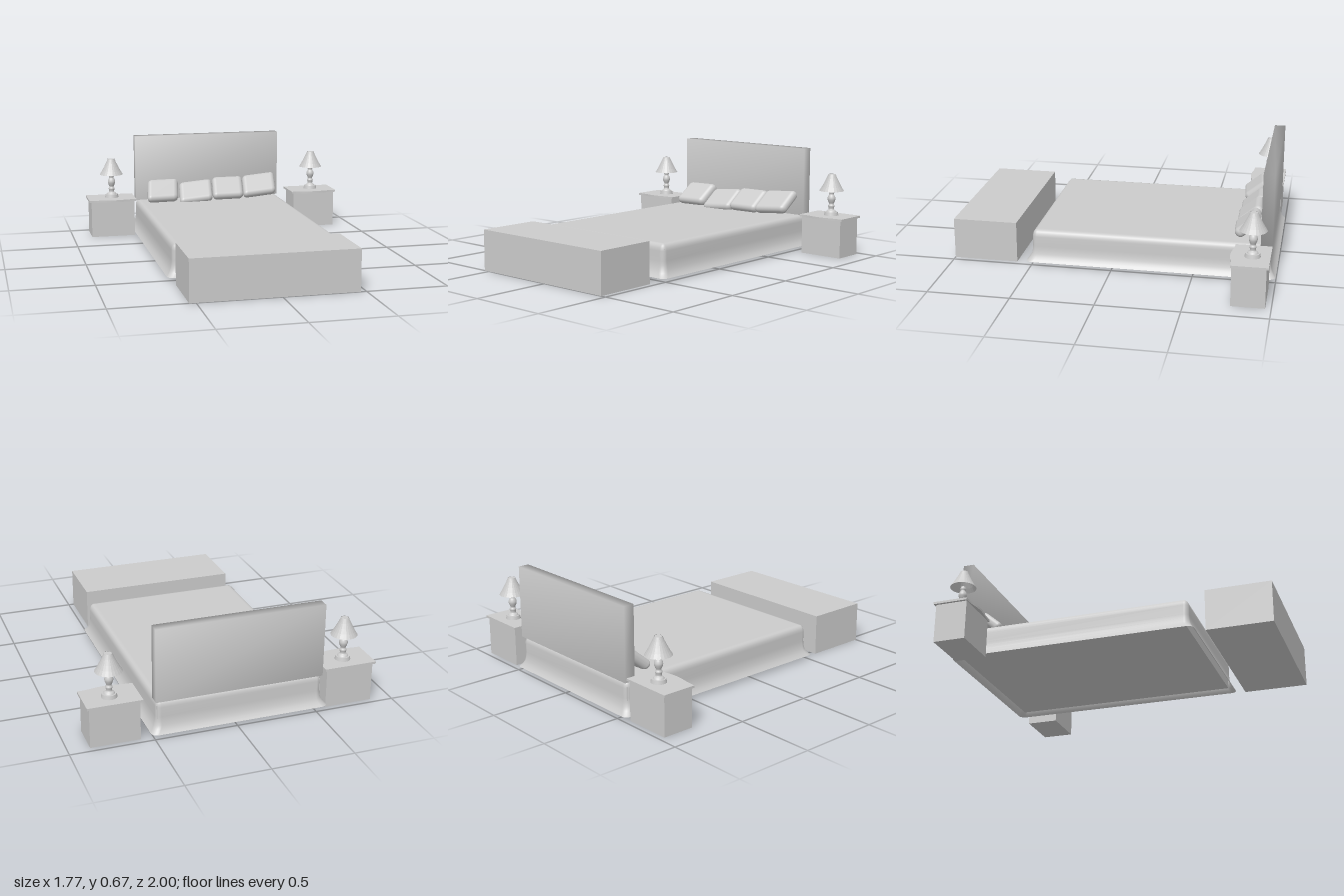
import * as THREE from 'three';
import { RoundedBoxGeometry } from 'three/addons/geometries/RoundedBoxGeometry.js';
import { mergeVertices } from 'three/addons/utils/BufferGeometryUtils.js';

const grey = new THREE.MeshStandardMaterial({ color: 0xcccccc });
const thin = new THREE.MeshStandardMaterial({ color: 0xcccccc, side: THREE.DoubleSide });
const facetedThin = new THREE.MeshStandardMaterial({ color: 0xcccccc, side: THREE.DoubleSide, flatShading: true });

function add(parent, name, geometry, material = grey) {
  const mesh = new THREE.Mesh(geometry, material);
  mesh.name = name;
  parent.add(mesh);
  return mesh;
}

// Box given by its limits on each axis
function block(parent, name, [x0, x1], [y0, y1], [z0, z1]) {
  const mesh = add(parent, name, new THREE.BoxGeometry(x1 - x0, y1 - y0, z1 - z0));
  mesh.position.set((x0 + x1) / 2, (y0 + y1) / 2, (z0 + z1) / 2);
  return mesh;
}

// Shares corners between faces so the shading runs softly around the edges
function softened(geometry) {
  geometry.deleteAttribute('normal');
  geometry.deleteAttribute('uv');
  const merged = mergeVertices(geometry);
  merged.computeVertexNormals();
  return merged;
}

// Rounded rectangles stacked along a [height, outward offset] profile, closed on top
function draped(width, depth, radius, profile) {
  const steps = 6, positions = [], index = [];
  const count = 4 * (steps + 1);
  for (const [y, offset] of profile) {
    const r = THREE.MathUtils.clamp(radius + offset, 0.004, radius + 0.008);
    for (let c = 0; c < 4; c++) {
      const sx = c === 0 || c === 3 ? 1 : -1, sz = c < 2 ? 1 : -1;
      for (let s = 0; s <= steps; s++) {
        const a = (c + s / steps) * Math.PI / 2;
        positions.push(
          sx * (width / 2 + offset - r) + r * Math.cos(a), y,
          sz * (depth / 2 + offset - r) + r * Math.sin(a));
      }
    }
  }
  for (let k = 0; k < profile.length - 1; k++) {
    for (let i = 0; i < count; i++) {
      const a = k * count + i, b = k * count + (i + 1) % count;
      index.push(a, a + count, b, b, a + count, b + count);
    }
  }
  const last = (profile.length - 1) * count, center = positions.length / 3;
  positions.push(0, profile[profile.length - 1][0], 0);
  for (let i = 0; i < count; i++) index.push(last + i, center, last + (i + 1) % count);
  const geometry = new THREE.BufferGeometry();
  geometry.setAttribute('position', new THREE.Float32BufferAttribute(positions, 3));
  geometry.setIndex(index);
  geometry.computeVertexNormals();
  return geometry;
}

// Leaning cushion, skewed a little so each one slumps differently
function pillow(parent, name, x, y, width, slant, rise, yaw) {
  const geometry = new RoundedBoxGeometry(width, 0.064, 0.182, 6, 0.03);
  geometry.rotateX(THREE.MathUtils.degToRad(41));
  geometry.applyMatrix4(new THREE.Matrix4().set(
    1, 0, slant, 0,
    rise, 1, 0, 0,
    yaw, 0, 1, 0,
    0, 0, 0, 1));
  add(parent, name, geometry).position.set(x, y, -0.813);
}

function lamp() {
  const group = new THREE.Group();
  group.name = 'lamp';
  const v = (points) => points.map(([r, y]) => new THREE.Vector2(r, y));
  // Foot disc
  add(group, 'lampFoot', new THREE.CylinderGeometry(0.042, 0.047, 0.022, 24)).position.y = 0.011;
  // Turned stem, two bulbs with narrow necks
  const stem = new THREE.SplineCurve(v([
    [0.034, 0.02], [0.028, 0.03], [0.018, 0.038], [0.018, 0.05], [0.021, 0.062], [0.015, 0.075],
    [0.021, 0.09], [0.026, 0.108], [0.022, 0.125], [0.015, 0.138], [0.018, 0.15], [0.014, 0.166]]));
  add(group, 'lampStem', new THREE.LatheGeometry(stem.getPoints(40), 24), thin);
  // Flared shade
  add(group, 'lampShade', new THREE.LatheGeometry(v([
    [0.08, 0.161], [0.064, 0.187], [0.049, 0.215], [0.035, 0.243], [0.023, 0.27]]), 24), facetedThin);
  add(group, 'lampShadeCap', new THREE.CylinderGeometry(0.022, 0.022, 0.004, 24)).position.y = 0.267;
  return group;
}

function nightstand() {
  const group = new THREE.Group();
  block(group, 'cabinet', [-0.148, 0.149], [0, 0.244], [-0.965, -0.766]);
  // Top board with a serpentine front edge
  const top = new THREE.Shape();
  top.moveTo(-0.163, 0.977);
  top.lineTo(-0.163, 0.76);
  top.bezierCurveTo(-0.09, 0.763, -0.07, 0.745, 0, 0.745);
  top.bezierCurveTo(0.07, 0.745, 0.09, 0.763, 0.163, 0.76);
  top.lineTo(0.163, 0.977);
  top.closePath();
  const board = new THREE.ExtrudeGeometry(top, { depth: 0.014, bevelEnabled: false, curveSegments: 12 });
  board.rotateX(-Math.PI / 2);
  add(group, 'tableTop', board).position.y = 0.242;
  const light = lamp();
  light.position.set(0.006, 0.256, -0.874);
  group.add(light);
  return group;
}

export function createModel() {
  const model = new THREE.Group();
  model.name = 'bedroomSet';

  // Bed: mattress under a cover that flares out at the hem
  const cover = add(model, 'bedCover', draped(1.022, 1.462, 0.03, [
    [0.024, 0.035], [0.034, 0.026], [0.05, 0.015], [0.07, 0.007], [0.095, 0.002], [0.12, 0],
    [0.18, 0], [0.198, -0.003], [0.21, -0.009], [0.219, -0.018], [0.222, -0.03], [0.222, -0.04]]), thin);
  cover.position.set(-0.03, 0, -0.233);
  block(model, 'mattress', [-0.535, 0.475], [0.045, 0.19], [-0.955, 0.485]);
  const headboard = block(model, 'headboard', [-0.543, 0.486], [0.219, 0.672], [-0.972, -0.903]);
  headboard.geometry = softened(headboard.geometry);

  // Pillows: x, y, width, slant, rise, yaw
  [
    [-0.366, 0.296, 0.217, -0.18, 0, -0.08],
    [-0.131, 0.276, 0.234, -0.12, 0.08, -0.03],
    [0.099, 0.296, 0.22, -0.13, 0, -0.03],
    [0.327, 0.308, 0.237, -0.13, 0.08, -0.05],
  ].forEach((p, i) => pillow(model, 'pillow' + (i + 1), ...p));

  // Bench at the foot of the bed
  block(model, 'bench', [-0.54, 0.466], [0, 0.256], [0.6, 1.0]);

  // Nightstands with lamps
  for (const [name, x] of [['rightNightstand', -0.724], ['leftNightstand', 0.723]]) {
    const stand = nightstand();
    stand.name = name;
    stand.position.x = x;
    model.add(stand);
  }
  return model;
}
